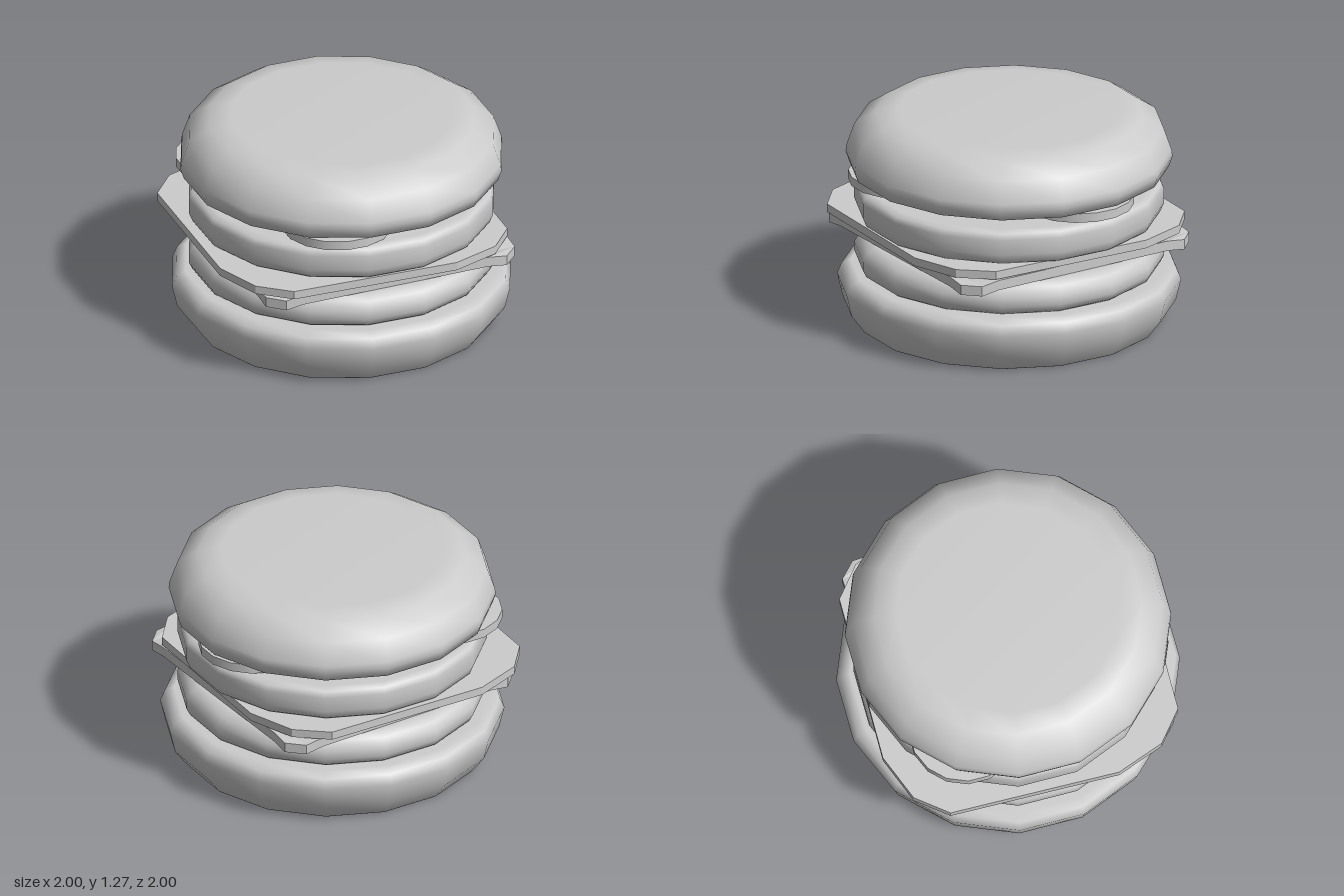
import * as THREE from 'three';

export function createModel() {
  const model = new THREE.Group();
  model.name = 'burger';
  const grey = new THREE.MeshStandardMaterial({ color: 0xcccccc });
  grey.name = 'plain grey';

  const add = (name, geometry) => {
    const mesh = new THREE.Mesh(geometry, grey);
    mesh.name = name;
    model.add(mesh);
    return mesh;
  };
  const round = (name, profile) =>
    add(name, new THREE.LatheGeometry(profile.map(([r, y]) => new THREE.Vector2(r, y)), 16));

  // Flat slice with a four-fold outline: the [x, z] points repeat every quarter turn
  const slice = (name, quarter, thickness) => {
    const points = [];
    for (let i = 0; i < 4; i++) {
      const c = Math.round(Math.cos(i * Math.PI / 2)), s = Math.round(Math.sin(i * Math.PI / 2));
      for (const [x, z] of quarter) points.push(new THREE.Vector2(x * c + z * s, x * s - z * c));
    }
    const geometry = new THREE.ExtrudeGeometry(new THREE.Shape(points), { depth: thickness, bevelEnabled: false });
    geometry.rotateX(-Math.PI / 2);
    return add(name, geometry);
  };

  // Buns and patties; close point pairs keep the flat faces crisp
  round('bottomBun', [[0, 0], [0.888, 0], [0.89, 0.002], [0.97, 0.11], [1, 0.24], [0.975, 0.3], [0.92, 0.33], [0, 0.33]]);
  round('lowerPatty', [[0, 0.325], [0.85, 0.325], [0.88, 0.345], [0.9, 0.385], [0.9, 0.44], [0.87, 0.49], [0.81, 0.525], [0, 0.525]]);
  round('upperPatty', [[0, 0.645], [0.86, 0.645], [0.88, 0.66], [0.9, 0.71], [0.9, 0.8], [0.885, 0.835], [0.84, 0.85], [0, 0.85]]);
  round('topBun', [[0, 0.92], [0.868, 0.92], [0.87, 0.921], [0.93, 0.94], [0.95, 1], [0.945, 1.04], [0.9, 1.17], [0.78, 1.25], [0.65, 1.273], [0, 1.273]]);

  // Lower cheese: turned square with clipped, slightly drooping corners
  const lower = slice('lowerCheese', [[-0.585, 0.79], [0.585, 0.79], [0.7, 0.79], [0.79, 0.7]], 0.06);
  const position = lower.geometry.attributes.position;
  for (let i = 0; i < position.count; i++) {
    const r = Math.hypot(position.getX(i), position.getZ(i));
    if (r > 1) position.setY(i, position.getY(i) - 0.015);
  }
  lower.geometry.computeVertexNormals();
  lower.rotation.y = -0.16;
  lower.position.y = 0.527;

  // Upper cheese: rounder slice set a little off centre
  slice('upperCheese', [[0.25, 0.94], [0.55, 0.89], [0.73, 0.74]], 0.05).position.set(-0.05, 0.595, -0.02);

  // Pickles under the top bun
  for (const [x, z] of [[0.605, 0.01], [-0.355, 0.5], [-0.44, -0.5]]) {
    add('pickle', new THREE.CylinderGeometry(0.325, 0.325, 0.055, 16)).position.set(x, 0.895, z);
  }
  return model;
}
